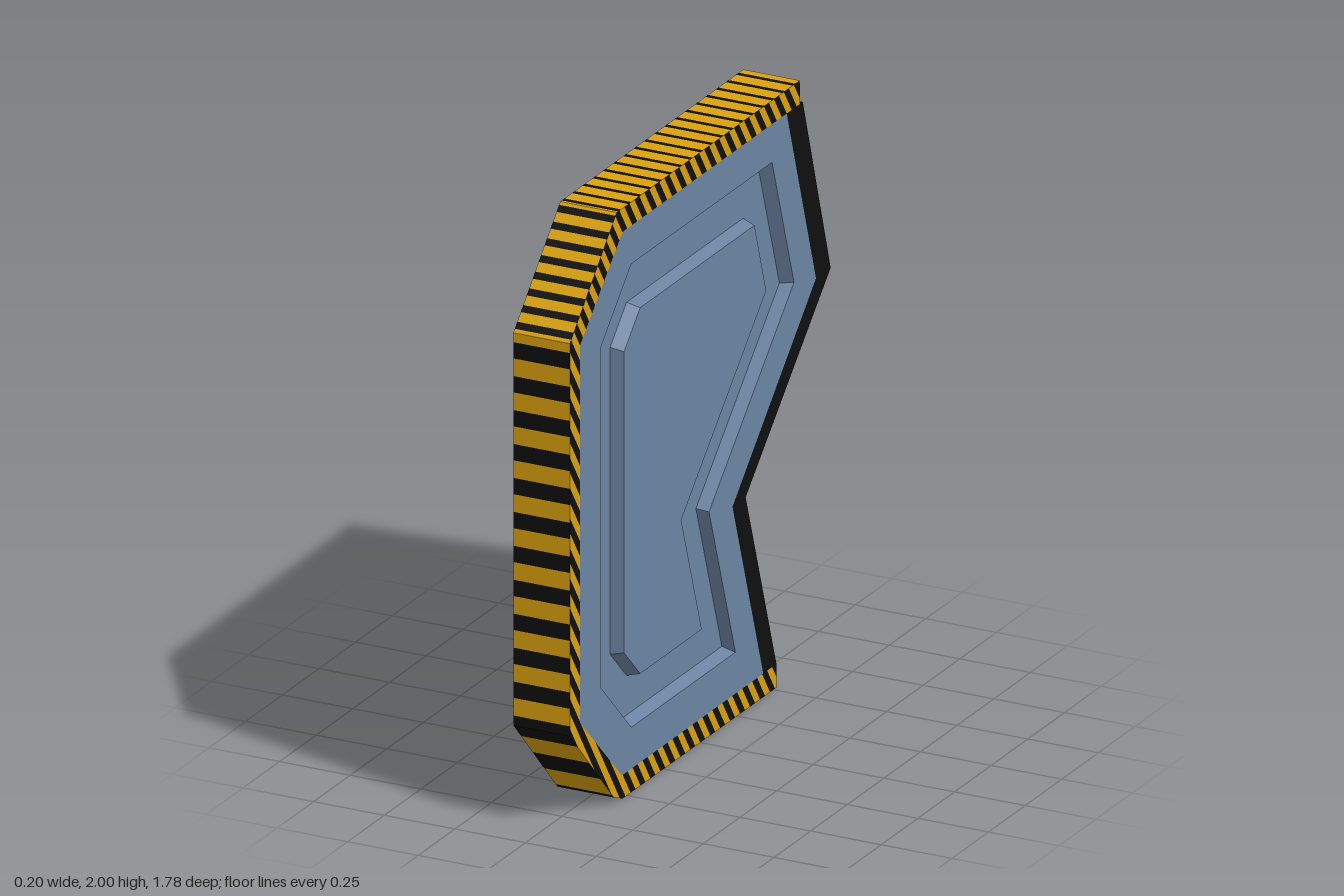
import * as THREE from 'three';

// Profiles are drawn as [u, y] with u = -z; the slab's thickness runs along w = x.
const H = 0.1;       // half thickness
const FLOOR = 0.055; // half thickness at the bottom of the channel

const trimOuter = [[0.68, 2], [-0.57, 2], [-0.89, 1.67], [-0.89, 0.34], [-0.59, 0.025], [-0.53, 0], [0.52, 0]];
const trimInner = [[0.68, 1.92], [-0.53, 1.92], [-0.82, 1.64], [-0.82, 0.36], [-0.54, 0.085], [-0.53, 0.08], [0.52, 0.08]];
const panelEdge = [[0.59, 1.92], [-0.53, 1.92], [-0.82, 1.64], [-0.82, 0.36], [-0.54, 0.085], [-0.53, 0.08],
  [0.43, 0.08], [0.22, 0.72], [0.79, 1.29]];
const sealEdge = [[0.59, 1.92], [0.79, 1.29], [0.22, 0.72], [0.43, 0.08], [0.52, 0.08], [0.31, 0.72], [0.89, 1.29], [0.7, 1.92]];
const channelEdge = [[0.49, 1.79], [-0.47, 1.79], [-0.68, 1.58], [-0.68, 0.43], [-0.47, 0.22], [0.24, 0.22], [0.06, 0.76], [0.64, 1.33]];
const plateEdge = [[0.37, 1.62], [-0.41, 1.62], [-0.52, 1.51], [-0.52, 0.49], [-0.41, 0.38], [0.01, 0.38], [-0.13, 0.8], [0.45, 1.37]];

const grow = (ring, k) => ring.map(([u, y]) => [-0.1 + (u + 0.1) * k, 1 + (y - 1) * k]);
const at = (p, w) => [p[0], p[1], w];

// Keeps the part of a convex polygon where sign * (f - v) >= 0
function clip(poly, f, v, sign) {
  const out = [];
  poly.forEach((a, i) => {
    const b = poly[(i + 1) % poly.length];
    const da = sign * (f(a) - v), db = sign * (f(b) - v);
    if (da >= 0) out.push(a);
    if (da * db < 0) out.push(a.map((c, j) => c + (b[j] - c) * da / (da - db)));
  });
  return out;
}

function polysGeometry(polys) {
  const pos = [];
  for (const p of polys) {
    for (let i = 1; i < p.length - 1; i++) pos.push(...p[0], ...p[i], ...p[i + 1]);
  }
  const g = new THREE.BufferGeometry();
  g.setAttribute('position', new THREE.Float32BufferAttribute(pos, 3));
  g.computeVertexNormals();
  return g;
}

// Splits a polygon into alternating black and yellow bands
function addStripes(poly, { f, period, duty, phase = 0 }, black, yellow) {
  const vals = poly.map(f);
  const first = Math.floor((Math.min(...vals) - phase) / period);
  const last = Math.floor((Math.max(...vals) - phase) / period);
  for (let k = first; k <= last; k++) {
    const start = phase + k * period, mid = start + period * duty;
    const band = (lo, hi, list) => {
      const p = clip(clip(poly, f, lo, 1), f, hi, -1);
      if (p.length > 2) list.push(p);
    };
    band(start, mid, black);
    band(mid, start + period, yellow);
  }
}

function slab(edge, half, hole) {
  const shape = new THREE.Shape(edge.map(p => new THREE.Vector2(...p)));
  if (hole) shape.holes.push(new THREE.Path(hole.map(p => new THREE.Vector2(...p))));
  return new THREE.ExtrudeGeometry(shape, { depth: half * 2, bevelEnabled: false }).translate(0, 0, -half);
}

// Sloped wall between two matching rings
const loft = (A, wa, B, wb) => A.map((a, i) => {
  const j = (i + 1) % A.length;
  return [at(a, wa), at(A[j], wa), at(B[j], wb), at(B[i], wb)];
});

export function createModel() {
  const mat = (name, color) => {
    const m = new THREE.MeshStandardMaterial({ color });
    m.name = name;
    return m;
  };
  const blue = mat('panelBlue', 0x6c84a2);
  const yellowMat = mat('hazardYellow', 0xdaa210);
  const blackMat = mat('black', 0x0f0f0f);

  const door = new THREE.Group();
  door.name = 'doorLeaf';
  door.rotation.y = Math.PI / 2;
  const add = (name, geometry, material) => {
    const m = new THREE.Mesh(geometry, material);
    m.name = name;
    door.add(m);
  };

  // Panel with a recessed channel around a raised centre plate, on both sides
  add('panelFrame', slab(panelEdge, H, channelEdge), blue);
  add('channelFloor', slab(channelEdge, FLOOR), blue);
  add('centrePlate', slab(plateEdge, H), blue);
  const channelFoot = grow(channelEdge, 0.982), plateFoot = grow(plateEdge, 1.02);
  add('channelWalls', polysGeometry([
    ...loft(channelEdge, H, channelFoot, FLOOR), ...loft(channelFoot, -FLOOR, channelEdge, -H),
    ...loft(plateFoot, FLOOR, plateEdge, H), ...loft(plateEdge, -H, plateFoot, -FLOOR),
  ]), blue);

  // Black seal along the notched closing edge
  add('closingSeal', slab(sealEdge, H), blackMat);

  // Hazard trim: striped on the left face and the rim, plain on the right face
  const black = [], yellow = [];
  const faceStripe = { f: p => p[0] + p[1] / 1.5, period: 0.068, duty: 0.5 };
  const lowChamfer = { f: p => p[1], period: 0.165, duty: 0.5, phase: 0.12 };
  const rimStripes = [
    { f: p => p[0], period: 0.07, duty: 0.27 },                 // top
    { f: p => p[1], period: 0.042, duty: 0.42 },                // upper chamfer
    { f: p => p[1], period: 0.115, duty: 0.48, phase: 0.088 },  // front
    lowChamfer, lowChamfer,
    { f: p => p[0], period: 0.068, duty: 0.38 },                // bottom
  ];
  const rim = (a, b) => [at(a, -H), at(b, -H), at(b, H), at(a, H)];
  rimStripes.forEach((stripe, i) => {
    const a = trimOuter[i], b = trimOuter[i + 1], c = trimInner[i + 1], d = trimInner[i];
    addStripes([a, b, c, d].map(p => at(p, H)), faceStripe, black, yellow);
    yellow.push([d, c, b, a].map(p => at(p, -H)));
    addStripes(rim(a, b), stripe, black, yellow);
  });
  // Plain end caps of the trim
  yellow.push(rim(trimInner[0], trimOuter[0]), rim(trimOuter[6], trimInner[6]));
  add('trimYellow', polysGeometry(yellow), yellowMat);
  add('trimBlackStripes', polysGeometry(black), blackMat);

  const model = new THREE.Group();
  model.name = 'hazardDoor';
  model.add(door);
  return model;
}
